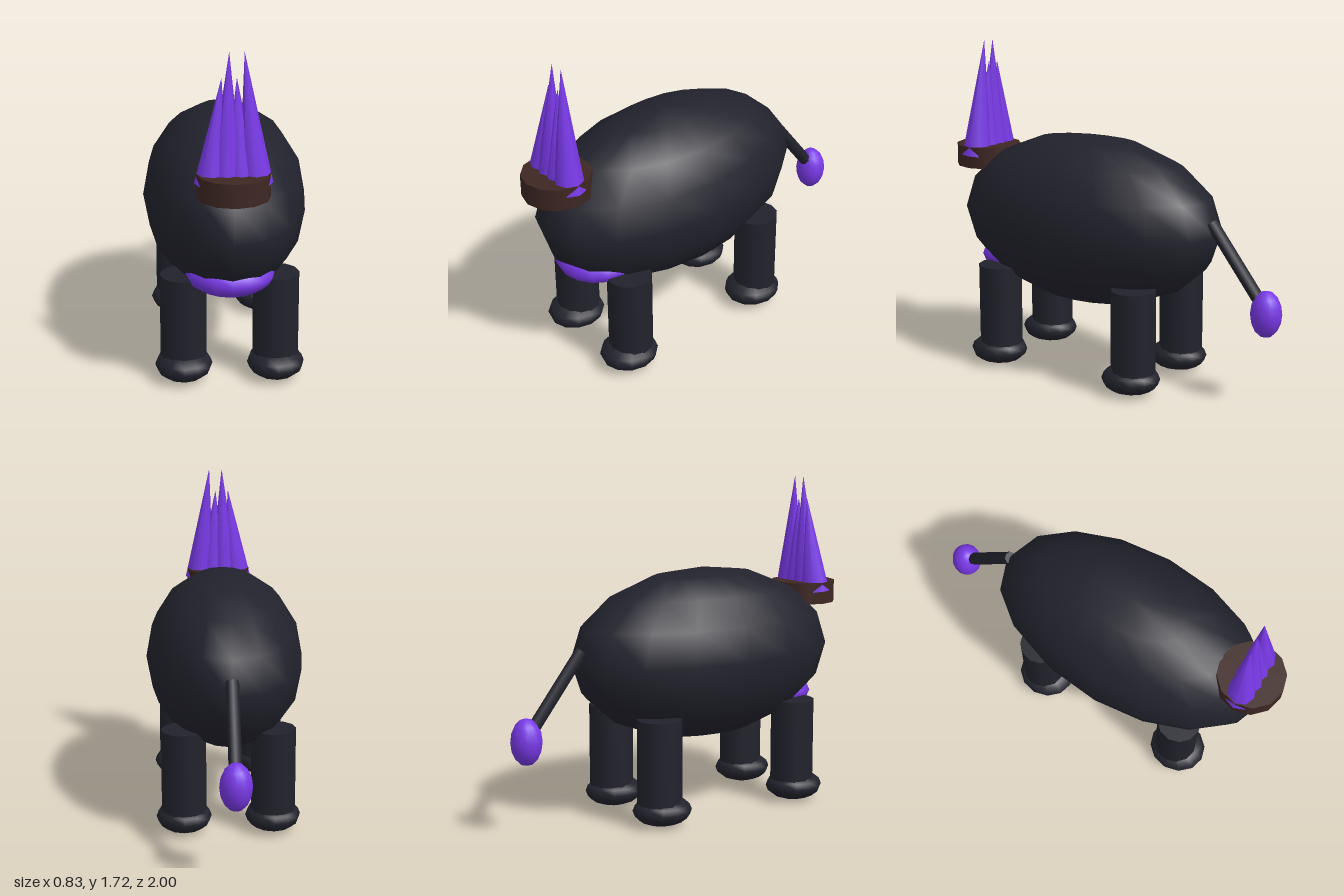
import * as THREE from 'three';

export function createModel() {
  const model = new THREE.Group();
  model.name = 'crownedBeast';

  const material = (name, color) => {
    const m = new THREE.MeshStandardMaterial({ color });
    m.name = name;
    return m;
  };
  const hide = material('dark hide', 0x22222d);
  const purple = material('purple hair', 0x7c3aed);
  const brown = material('brown band', 0x3e2723);

  const add = (name, geometry, mat, x, y, z) => {
    const mesh = new THREE.Mesh(geometry, mat);
    mesh.name = name;
    mesh.position.set(x, y, z);
    model.add(mesh);
    return mesh;
  };
  const ellipsoid = (name, mat, [rx, ry, rz], [x, y, z], w = 16, h = 8) =>
    add(name, new THREE.SphereGeometry(1, w, h).scale(rx, ry, rz), mat, x, y, z);

  // Cylinder or cone running between two points
  const rod = (name, mat, from, to, r0, r1, sides) => {
    const a = new THREE.Vector3(...from), b = new THREE.Vector3(...to);
    const dir = b.clone().sub(a);
    const mid = a.clone().add(b).multiplyScalar(0.5);
    const mesh = add(name, new THREE.CylinderGeometry(r1, r0, dir.length(), sides), mat, mid.x, mid.y, mid.z);
    mesh.quaternion.setFromUnitVectors(new THREE.Vector3(0, 1, 0), dir.normalize());
    return mesh;
  };

  // Body and chest patch bulging out under the front
  ellipsoid('body', hide, [0.415, 0.45, 0.775], [0, 0.825, 0.145]);
  ellipsoid('chestPatch', purple, [0.22, 0.1, 0.22], [0, 0.57, 0.6]);

  // Legs with broad flattened feet
  for (const [end, z] of [['front', 0.575], ['back', -0.285]]) {
    for (const [side, x] of [['Left', 0.23], ['Right', -0.23]]) {
      rod(`${end}${side}Leg`, hide, [x, 0.08, z], [x, 0.555, z], 0.115, 0.115, 12);
      ellipsoid(`${end}${side}Foot`, hide, [0.143, 0.078, 0.155], [x, 0.08, z + 0.015], 12, 8);
    }
  }

  // Tail and tuft
  rod('tail', hide, [0, 0.9, -0.6], [0, 0.53, -0.89], 0.033, 0.033, 8);
  ellipsoid('tailTuft', purple, [0.08, 0.12, 0.08], [0, 0.48, -0.92]);

  // Head band
  add('headBand', new THREE.CylinderGeometry(0.175, 0.175, 0.115, 12), brown, 0, 1.0975, 0.825);

  // Row of leaning spikes, alternately short and tall
  for (let i = 0; i < 4; i++) {
    const tip = [-0.055 + i * 0.035, i % 2 ? 1.725 : 1.605, 0.803];
    rod(`spike${i + 1}`, purple, [(i - 1.5) * 0.07, 1.1, 0.825], tip, 0.08, 0, 8);
  }

  return model;
}
